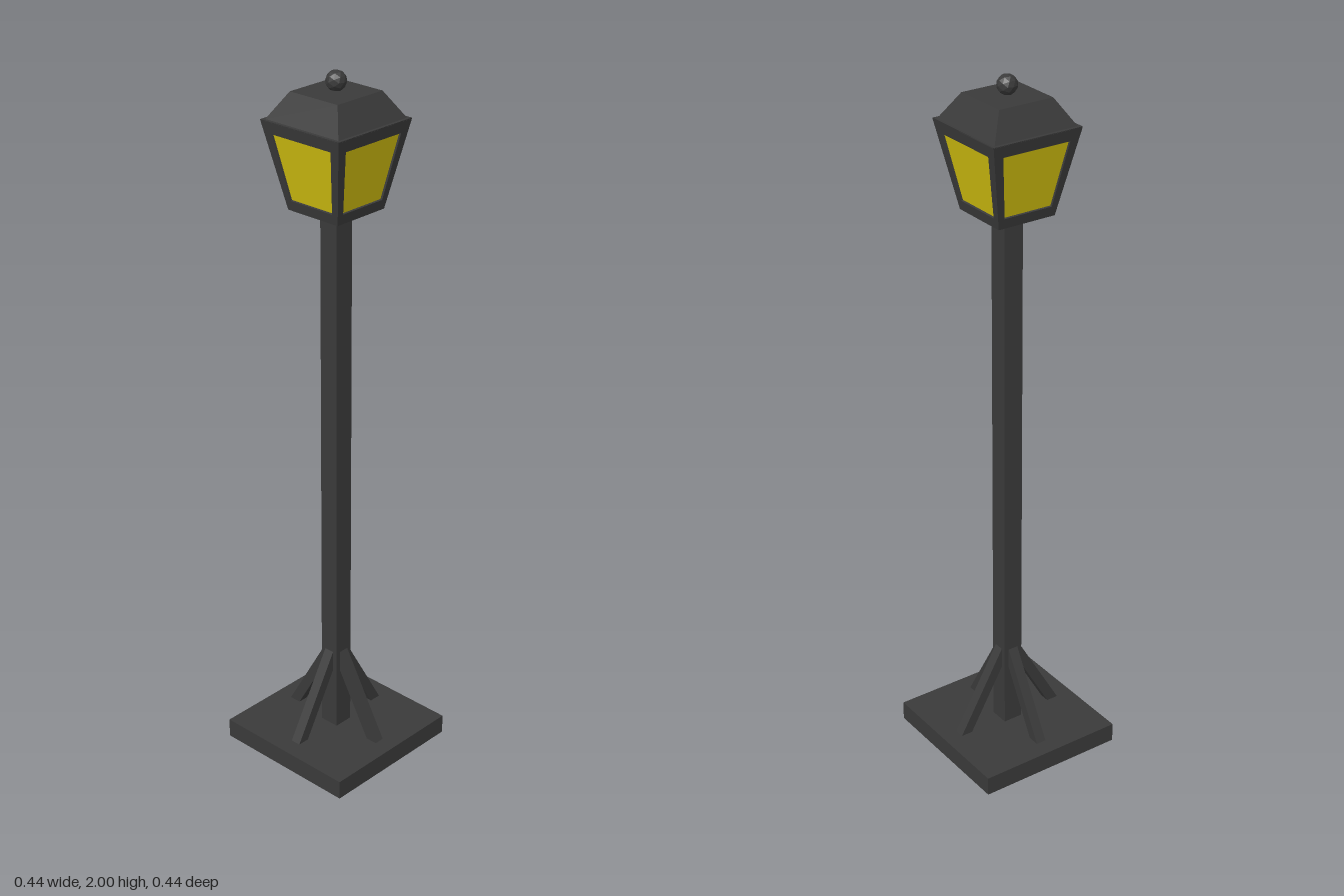
import * as THREE from 'three';

export function createModel() {
  const model = new THREE.Group();
  model.name = 'streetLamp';
  const iron = new THREE.MeshStandardMaterial({ color: 0x3a3a3a, flatShading: true });
  iron.name = 'darkIron';
  const glass = new THREE.MeshStandardMaterial({ color: 0xd2c010, flatShading: true });
  glass.name = 'yellowGlass';

  const add = (name, geometry, material = iron, y = 0, parent = model) => {
    const mesh = new THREE.Mesh(geometry, material);
    mesh.name = name;
    mesh.position.y = y;
    parent.add(mesh);
    return mesh;
  };

  // Square frustum given by half widths and heights
  const frustum = (name, bottom, top, y0, y1, material = iron, open = false) => {
    const g = new THREE.CylinderGeometry(top * Math.SQRT2, bottom * Math.SQRT2, y1 - y0, 4, 1, open);
    g.rotateY(Math.PI / 4);
    return add(name, g, material, (y0 + y1) / 2);
  };

  // Base slab and post
  add('base', new THREE.BoxGeometry(0.44, 0.056, 0.44), iron, 0.028);
  add('post', new THREE.BoxGeometry(0.058, 1.59, 0.058), iron, 0.845);

  // Diagonal brace, leaning against the post
  const braceShape = new THREE.Shape([
    [0.173, 0.05], [0.02, 0.319], [0.02, 0.258], [0.138, 0.05],
  ].map(([x, y]) => new THREE.Vector2(x, y)));
  const braceGeometry = new THREE.ExtrudeGeometry(braceShape, { depth: 0.03, bevelEnabled: false });
  braceGeometry.translate(0, 0, -0.015);

  // Slanted lantern frame with a window opening
  const low = 1.632, high = 1.872, wLow = 0.087, wHigh = 0.135;
  const tilt = Math.atan2(wHigh - wLow, high - low);
  const slant = Math.hypot(wHigh - wLow, high - low);
  const trapezoid = (a, b, y0, y1) => [[-a, y0], [a, y0], [b, y1], [-b, y1]]
    .map(([x, y]) => new THREE.Vector2(x, y));
  const frameShape = new THREE.Shape(trapezoid(wLow, wHigh, 0, slant));
  frameShape.holes.push(new THREE.Path(trapezoid(0.073, 0.102, 0.029, 0.212).reverse()));
  const frameGeometry = new THREE.ExtrudeGeometry(frameShape, { depth: 0.008, bevelEnabled: false });
  frameGeometry.translate(0, 0, -0.008);

  for (let i = 0; i < 4; i++) {
    const side = new THREE.Group();
    side.name = 'side' + (i + 1);
    side.rotation.y = i * Math.PI / 2;
    model.add(side);
    add('brace', braceGeometry, iron, 0, side);
    const frame = add('lanternFrame', frameGeometry, iron, low, side);
    frame.position.z = wLow;
    frame.rotation.x = tilt;
  }

  // Glass panes just behind the frames, closed by floor and rim
  frustum('glassPanes', wLow - 0.005, wHigh - 0.007, low + 0.006, high - 0.006, glass, true);
  frustum('lanternFloor', wLow, wLow + 0.002, low, low + 0.01);
  frustum('lanternRim', wHigh - 0.002, wHigh, high - 0.01, high + 0.002);

  // Roof and ball finial
  frustum('roof', 0.126, 0.082, 1.874, 1.945);
  add('finial', new THREE.IcosahedronGeometry(0.028, 1), iron, 1.972);

  return model;
}
